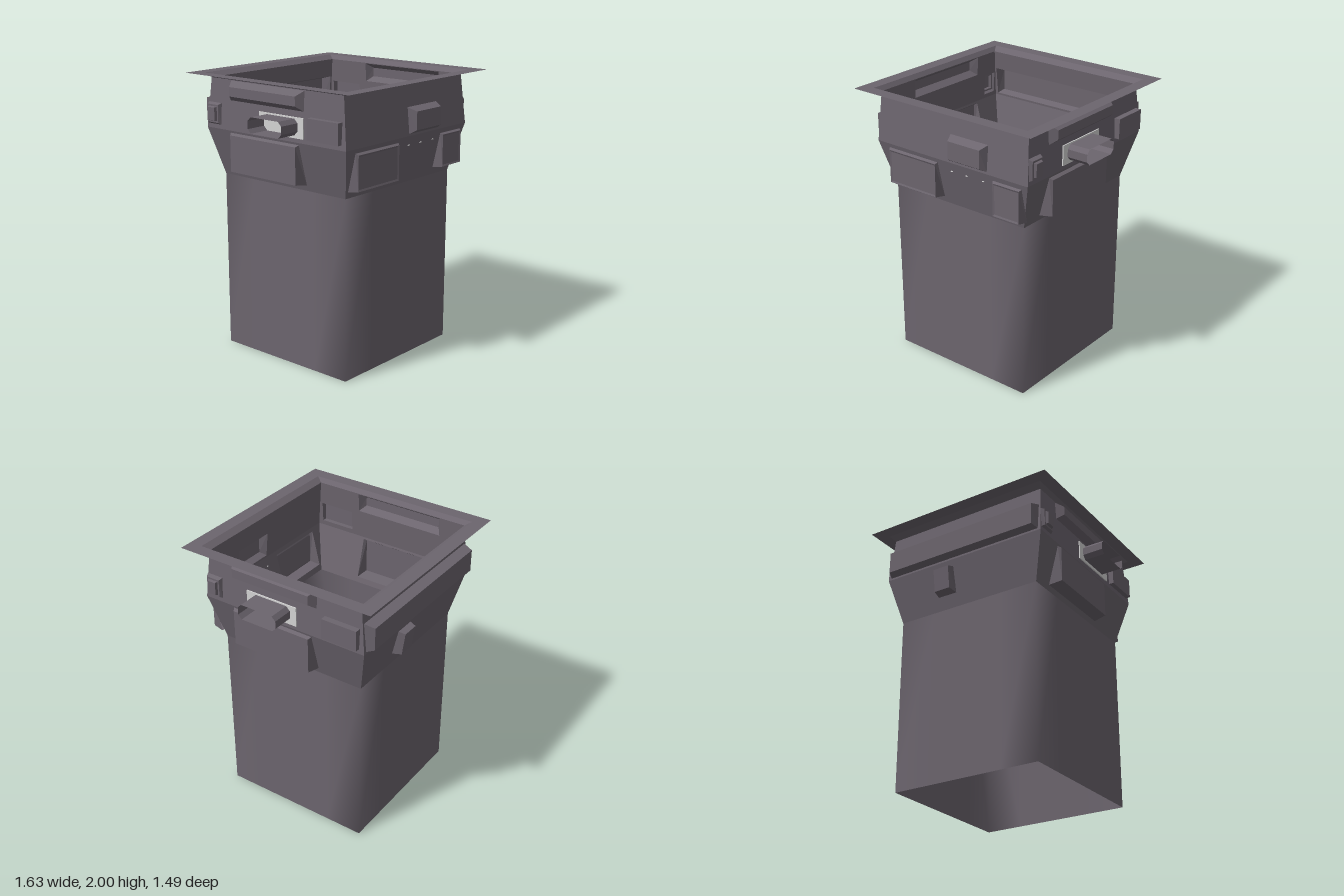
import * as THREE from 'three';

const casing = new THREE.MeshStandardMaterial({ color: 0x6c656e, side: THREE.DoubleSide });
casing.name = 'casing grey';
const pale = new THREE.MeshStandardMaterial({ color: 0xd4d4d4, side: THREE.DoubleSide });
pale.name = 'pale plate';

// Collar profile: height, half width in x, half depth in z
const PROFILE = [[1.28, 0.565, 0.56], [1.62, 0.655, 0.64], [1.97, 0.635, 0.605]];

function profileAt(y, axis) {
  const i = y < PROFILE[1][0] ? 0 : 1;
  const a = PROFILE[i], b = PROFILE[i + 1];
  return a[axis] + (b[axis] - a[axis]) * (y - a[0]) / (b[0] - a[0]);
}

// Skin over closed rings of points, optionally capped at the last ring
function skin(rings, { cap = false, smooth = false } = {}) {
  const n = rings[0].length, index = [];
  for (let r = 0; r < rings.length - 1; r++) {
    for (let i = 0; i < n; i++) {
      const a = r * n + i, b = r * n + (i + 1) % n;
      index.push(a, b, b + n, a, b + n, a + n);
    }
  }
  if (cap) {
    const s = (rings.length - 1) * n;
    for (let i = 1; i < n - 1; i++) index.push(s, s + i, s + i + 1);
  }
  let g = new THREE.BufferGeometry();
  g.setAttribute('position', new THREE.Float32BufferAttribute(rings.flat(2), 3));
  g.setIndex(index);
  if (!smooth) g = g.toNonIndexed();
  g.computeVertexNormals();
  return g;
}

function add(parent, name, geometry, material = casing) {
  const mesh = new THREE.Mesh(geometry, material);
  mesh.name = name;
  parent.add(mesh);
  return mesh;
}

// Rectangle ring around the vertical axis, with given stops along each side
function squareRing(hx, hz, y, stops = [-1]) {
  const ring = [];
  for (const t of stops) ring.push([t * hx, y, hz]);
  for (const t of stops) ring.push([hx, y, -t * hz]);
  for (const t of stops) ring.push([-t * hx, y, -hz]);
  for (const t of stops) ring.push([-hx, y, t * hz]);
  return ring;
}

// Hollow pressed panel; levels are [inset, depth at bottom, depth at top]
function panelGeometry(p, depthAxis) {
  const { u0, u1, y0, y1, levels } = p;
  const ring = (k, d0, d1) => [
    [u0 + k, y0 + k, d0], [u1 - k, y0 + k, d0],
    [u1 - k, y1 - k, d1], [u0 + k, y1 - k, d1]];
  const rings = [ring(0, profileAt(y0, depthAxis), profileAt(y1, depthAxis))];
  for (const [k, d0, d1 = d0] of levels) rings.push(ring(k, d0, d1));
  return skin(rings, { cap: true });
}

// One collar wall: two sloping bands with openings behind the panels
function collarWall(name, angle, widthAxis, panels) {
  const wall = new THREE.Group();
  wall.name = name;
  wall.rotation.y = angle;
  const depthAxis = 3 - widthAxis;
  for (let i = 0; i < 2; i++) {
    const a = PROFILE[i], b = PROFILE[i + 1];
    const shape = new THREE.Shape([
      [-a[widthAxis], a[0]], [a[widthAxis], a[0]],
      [b[widthAxis], b[0]], [-b[widthAxis], b[0]]].map(q => new THREE.Vector2(...q)));
    for (const p of panels) {
      if (p.y0 < a[0] || p.y1 > b[0]) continue;
      const lim = Math.min(profileAt(p.y0, widthAxis), profileAt(p.y1, widthAxis)) - 0.01;
      const l = Math.max(p.u0, -lim), r = Math.min(p.u1, lim);
      shape.holes.push(new THREE.Path([
        [l, p.y0], [l, p.y1], [r, p.y1], [r, p.y0]].map(q => new THREE.Vector2(...q))));
    }
    const g = new THREE.ShapeGeometry(shape);
    const pos = g.attributes.position;
    for (let v = 0; v < pos.count; v++) pos.setZ(v, profileAt(pos.getY(v), depthAxis));
    g.computeVertexNormals();
    add(wall, i ? 'upperBand' : 'lowerBand', g);
  }
  for (const p of panels) add(wall, p.name, panelGeometry(p, depthAxis));
  return wall;
}

const panel = (name, u0, u1, y0, y1, ...levels) => ({ name, u0, u1, y0, y1, levels });

// Open octagonal sleeve standing out of a pale backing plate
function addConnector(wall, u) {
  const plate = add(wall, 'connectorPlate', new THREE.BoxGeometry(0.4, 0.14, 0.008), pale);
  plate.position.set(u, 1.72, 0.66);
  const w = 0.152, h = 0.055, c = 0.028;
  const ring = z => [[-w + c, -h], [w - c, -h], [w, -h + c], [w, h - c],
    [w - c, h], [-w + c, h], [-w, h - c], [-w, -h + c]].map(([x, y]) => [u + x, 1.725 + y, z]);
  add(wall, 'connectorSleeve', skin([ring(0.655), ring(0.817)]));
}

export function createModel() {
  const model = new THREE.Group();
  model.name = 'shaftHousing';

  // Long open shaft with softly shaded corners
  const stops = [-1, -0.5, 0, 0.5];
  add(model, 'shaft', skin([
    squareRing(0.565, 0.56, 0, stops), squareRing(0.565, 0.56, 1.28, stops)], { smooth: true }));

  // Flat rim with a bevel down into the collar
  add(model, 'rim', skin([
    squareRing(0.755, 0.745, 2), squareRing(0.66, 0.65, 2), squareRing(0.635, 0.605, 1.97)]));

  // Front wall
  const front = collarWall('frontWall', 0, 1, [
    panel('wideFrontPanel', -0.555, -0.11, 1.325, 1.59, [0.012, 0.65], [0.024, 0.645]),
    panel('squareFrontPanel', 0.365, 0.6, 1.335, 1.585, [0.01, 0.65], [0.022, 0.645]),
    panel('upperFrontBox', 0, 0.32, 1.635, 1.815, [0.026, 0.682])]);
  for (const x of [0.01, 0.14, 0.28]) {
    const tick = add(front, 'pin', new THREE.BoxGeometry(0.015, 0.005, 0.009), pale);
    tick.position.set(x, 1.555, profileAt(1.555, 2) + 0.002);
  }
  model.add(front);

  // Back wall
  model.add(collarWall('backWall', Math.PI, 1, [
    panel('longBackBar', -0.63, 0.63, 1.635, 1.835, [0.02, 0.69]),
    panel('smallBackBox', -0.23, -0.08, 1.38, 1.57, [0.012, 0.652, 0.675])]));

  // Side walls share one layout, turned half round
  for (const s of [1, -1]) {
    const side = collarWall(s > 0 ? 'leftWall' : 'rightWall', s * Math.PI / 2, 2, [
      panel('lowerSidePanel', -0.41, 0.23, 1.32, 1.605, [0.014, 0.672]),
      panel('upperSidePanel', -0.41, 0.27, 1.83, 1.965, [0.035, 0.69]),
      panel('smallSideBox', -0.625, -0.5, 1.65, 1.8, [0.012, 0.672], [0.024, 0.672], [0.03, 0.69]),
      panel('flatSideBox', 0.335, 0.6, 1.655, 1.8, [0, 0.688])]);
    addConnector(side, -0.08 * s);
    model.add(side);
  }
  return model;
}
